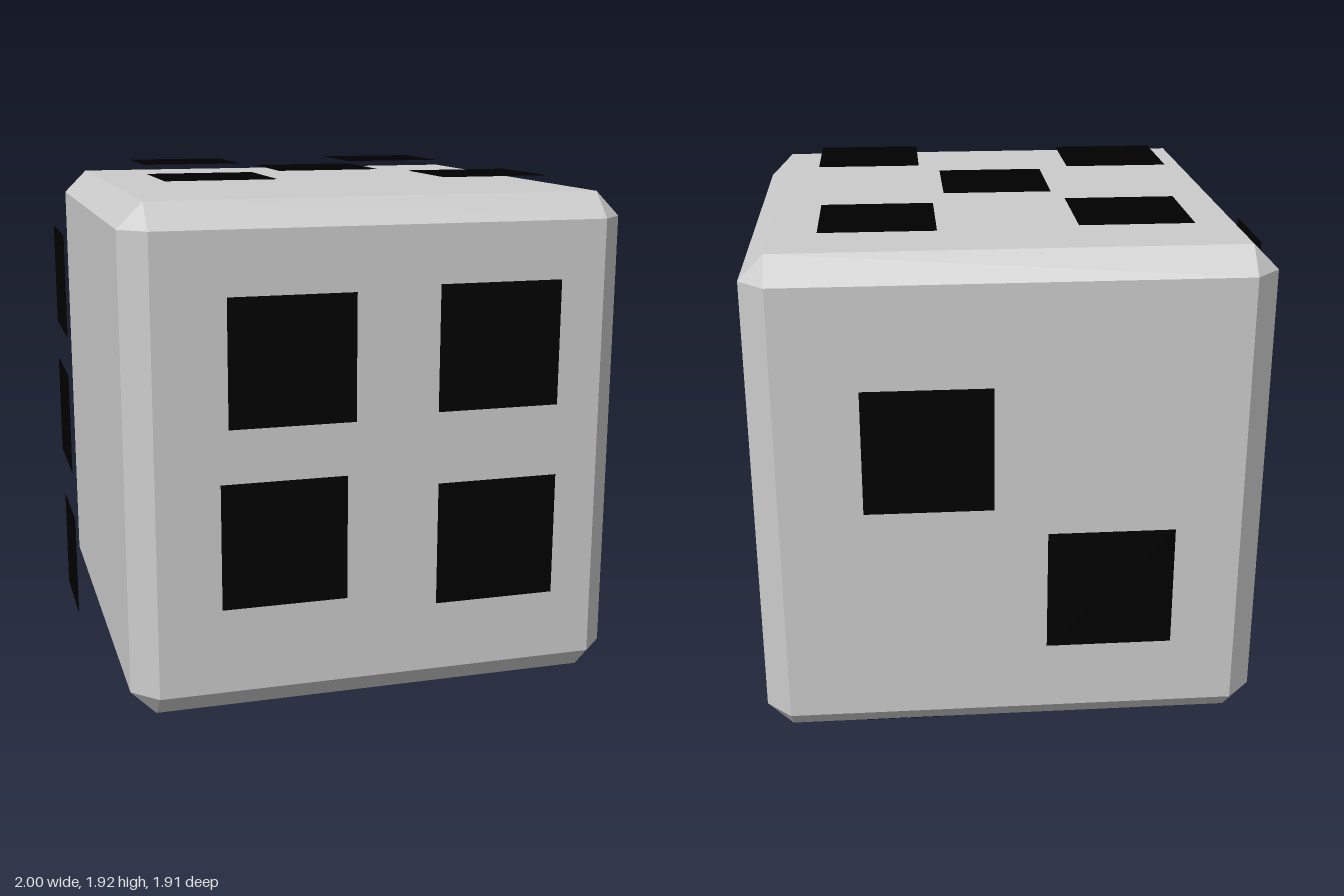
import * as THREE from 'three';
import { ConvexGeometry } from 'three/addons/geometries/ConvexGeometry.js';

const grey = new THREE.MeshStandardMaterial({ color: 0xcccccc, flatShading: true });
const black = new THREE.MeshStandardMaterial({ color: 0x000000, side: THREE.DoubleSide });

// Cube with chamfered edges and triangular corners
function chamferedCube(outer, inner) {
  const points = [];
  for (const x of [-1, 1]) for (const y of [-1, 1]) for (const z of [-1, 1]) {
    points.push(
      new THREE.Vector3(x * outer, y * inner, z * inner),
      new THREE.Vector3(x * inner, y * outer, z * inner),
      new THREE.Vector3(x * inner, y * inner, z * outer)
    );
  }
  return new ConvexGeometry(points);
}

// Square pips floating just off each side: size, rotation and centres
const H = Math.PI / 2;
const sides = [
  { name: 'rightSidePip', size: 0.475, rot: [0, H, 0], at: [[1, 0.96, -0.015]] },
  { name: 'backPip', size: 0.455, rot: [0, Math.PI, 0],
    at: [[0.32, 1.195, -0.955], [-0.325, 0.64, -0.955]] },
  { name: 'leftSidePip', size: 0.385, rot: [0, -H, 0],
    at: [[-1, 1.51, 0.005], [-1, 0.975, -0.02], [-1, 0.415, 0.02]] },
  { name: 'frontPip', size: 0.45, rot: [0, 0, 0],
    at: [[-0.325, 1.34, 0.955], [0.425, 1.355, 0.955], [-0.355, 0.7, 0.955], [0.43, 0.645, 0.955]] },
  { name: 'topPip', size: 0.4, rot: [-H, 0, 0],
    at: [[-0.413, 1.922, -0.535], [0.47, 1.922, -0.57], [0.025, 1.922, -0.02],
      [-0.49, 1.922, 0.42], [0.505, 1.922, 0.48]] },
  { name: 'bottomPip', size: 0.3, rot: [H, 0, 0],
    at: [[0.435, 0, -0.615], [0.452, 0, -0.058], [0.455, 0, 0.498],
      [-0.404, 0, -0.549], [-0.376, 0, -0.024], [-0.35, 0, 0.479]] },
];

export function createModel() {
  const die = new THREE.Group();
  die.name = 'die';

  const body = new THREE.Mesh(chamferedCube(0.911, 0.82), grey);
  body.name = 'body';
  body.position.set(0.024, 0.961, -0.016);
  die.add(body);

  for (const { name, size, rot, at } of sides) {
    const square = new THREE.PlaneGeometry(size, size);
    at.forEach((centre, i) => {
      const pip = new THREE.Mesh(square, black);
      pip.name = name + (i + 1);
      pip.rotation.set(...rot);
      pip.position.set(...centre);
      die.add(pip);
    });
  }
  return die;
}
